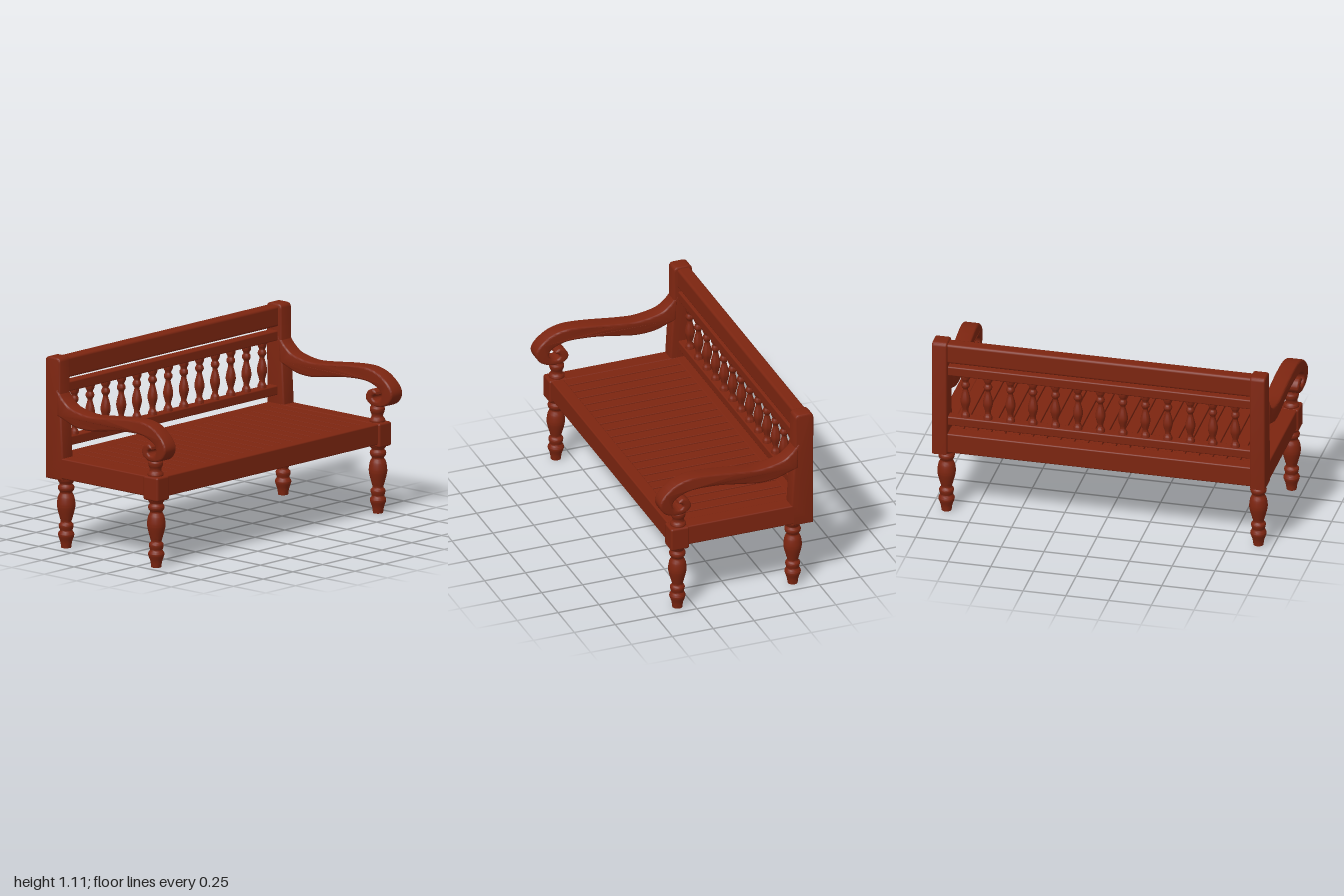
import * as THREE from 'three';
import { toCreasedNormals } from 'three/addons/utils/BufferGeometryUtils.js';
import { RoundedBoxGeometry } from 'three/addons/geometries/RoundedBoxGeometry.js';

const v2 = (pts) => pts.map(([a, b]) => new THREE.Vector2(a, b));

// Smooth turned profile from [radius, height] pairs, closed at both ends
function turned(pts, detail = 40) {
  const curve = new THREE.SplineCurve(v2(pts)).getPoints(detail);
  const first = new THREE.Vector2(0, pts[0][1]);
  const last = new THREE.Vector2(0, pts[pts.length - 1][1]);
  return toCreasedNormals(new THREE.LatheGeometry([first, ...curve, last], 20), 0.8);
}

// Side outline in (z, y), given a width along x and softened edges
function sideProfile(points, width, bevel) {
  const geo = new THREE.ExtrudeGeometry(new THREE.Shape(points), {
    depth: width - 2 * bevel, bevelEnabled: true, bevelThickness: bevel,
    bevelSize: bevel, bevelOffset: -bevel, bevelSegments: 3, steps: 1,
  });
  geo.translate(0, 0, -width / 2 + bevel);
  geo.rotateY(-Math.PI / 2);
  return geo;
}

export function createModel() {
  const bench = new THREE.Group();
  bench.name = 'bench';
  const wood = new THREE.MeshStandardMaterial({ color: 0x7c2510 });
  wood.name = 'redBrownWood';

  const add = (name, geo, x = 0, y = 0, z = 0) => {
    const mesh = new THREE.Mesh(geo, wood);
    mesh.name = name;
    mesh.position.set(x, y, z);
    bench.add(mesh);
    return mesh;
  };
  // Box given by its limits
  const block = (name, x0, x1, y0, y1, z0, z1, r = 0.008) => add(
    name, new RoundedBoxGeometry(x1 - x0, y1 - y0, z1 - z0, 2, r),
    (x0 + x1) / 2, (y0 + y1) / 2, (z0 + z1) / 2);

  // Seat: panel, front and back rails, slats
  block('seatPanel', -0.93, 0.93, 0.412, 0.512, -0.44, 0.36, 0.004);
  block('frontRail', -0.93, 0.93, 0.41, 0.53, 0.312, 0.387);
  block('backSeatRail', -0.93, 0.93, 0.41, 0.53, -0.462, -0.372);
  const slatCount = 22, pitch = 1.78 / slatCount;
  for (let i = 0; i < slatCount; i++) {
    const x = -0.89 + (i + 0.5) * pitch;
    block('seatSlat', x - pitch / 2 + 0.004, x + pitch / 2 - 0.004, 0.505, 0.528, -0.38, 0.316, 0.003);
  }

  // Turned shapes
  const legGeo = turned([
    [0.029, 0], [0.034, 0.035], [0.046, 0.07], [0.045, 0.085], [0.036, 0.1], [0.041, 0.118],
    [0.042, 0.135], [0.031, 0.15], [0.037, 0.175], [0.05, 0.225], [0.053, 0.255], [0.047, 0.295],
    [0.035, 0.322], [0.044, 0.337], [0.047, 0.355], [0.037, 0.372], [0.047, 0.39], [0.052, 0.415],
  ], 64);
  const supportGeo = turned([
    [0.044, 0.525], [0.045, 0.545], [0.035, 0.558], [0.034, 0.575],
    [0.041, 0.592], [0.043, 0.61], [0.036, 0.625], [0.036, 0.645],
  ]);
  const balusterGeo = turned([
    [0.027, 0.63], [0.025, 0.65], [0.018, 0.665], [0.016, 0.68], [0.024, 0.71], [0.029, 0.735],
    [0.025, 0.765], [0.016, 0.8], [0.015, 0.815], [0.024, 0.83], [0.024, 0.845], [0.017, 0.86],
    [0.026, 0.88], [0.028, 0.9],
  ]);

  // Backrest rails and balusters
  block('topRail', -0.92, 0.92, 0.98, 1.1, -0.463, -0.383, 0.015);
  block('middleRail', -0.92, 0.92, 0.897, 0.955, -0.452, -0.388, 0.008);
  block('lowerRail', -0.92, 0.92, 0.58, 0.635, -0.452, -0.388, 0.008);
  for (let i = -6; i <= 6; i++) add('baluster', balusterGeo, i * 0.1315, 0, -0.42);

  // Back post outline: flared foot, rounded top
  const post = new THREE.Shape();
  post.moveTo(-0.472, 0.4);
  post.lineTo(-0.345, 0.4);
  post.lineTo(-0.34, 0.53);
  post.lineTo(-0.354, 0.77);
  post.lineTo(-0.362, 0.79);
  post.lineTo(-0.362, 1.08);
  post.quadraticCurveTo(-0.362, 1.111, -0.392, 1.111);
  post.lineTo(-0.445, 1.111);
  post.quadraticCurveTo(-0.475, 1.111, -0.475, 1.08);
  const postGeo = toCreasedNormals(sideProfile(post.getPoints(6), 0.09, 0.01), 0.6);

  // Arm outline: sweeping upper edge, scroll, and lower edge back to the post
  const upperEdge = new THREE.SplineCurve(v2([
    [-0.38, 0.93], [-0.36, 0.9], [-0.33, 0.868], [-0.275, 0.833], [-0.157, 0.811], [-0.04, 0.817],
    [0.137, 0.837], [0.27, 0.843], [0.357, 0.825], [0.416, 0.79], [0.46, 0.745], [0.473, 0.7],
    [0.445, 0.65], [0.387, 0.626], [0.328, 0.626], [0.29, 0.648], [0.278, 0.678], [0.298, 0.712],
    [0.33, 0.723], [0.355, 0.708],
  ])).getPoints(90);
  const lowerEdge = new THREE.SplineCurve(v2([
    [0.358, 0.694], [0.34, 0.69], [0.328, 0.674], [0.345, 0.658], [0.378, 0.664], [0.395, 0.69],
    [0.38, 0.724], [0.328, 0.752], [0.254, 0.766], [0.107, 0.76], [-0.04, 0.737], [-0.143, 0.723],
    [-0.245, 0.73], [-0.32, 0.755], [-0.38, 0.775],
  ])).getPoints(70);
  const armOutline = [...upperEdge, ...lowerEdge];

  for (const s of [1, -1]) {
    const side = s > 0 ? 'left' : 'right';
    add(side + 'BackPost', postGeo, s * 0.93);

    // Arm, bending outwards towards the front
    const armGeo = sideProfile(armOutline, 0.096, 0.011);
    const p = armGeo.attributes.position;
    for (let i = 0; i < p.count; i++) {
      const t = Math.max(0, (p.getZ(i) + 0.1) / 0.57);
      p.setX(i, p.getX(i) + s * 0.02 * t * t);
    }
    add(side + 'Arm', toCreasedNormals(armGeo, 0.6), s * 0.932);
    add(side + 'ArmSupport', supportGeo, s * 0.932, 0, 0.338);

    // Side rail, corner block and legs
    const [a, b] = s > 0 ? [0.882, 0.975] : [-0.975, -0.882];
    block(side + 'SideRail', a, b, 0.412, 0.531, -0.44, 0.34);
    const [c, d] = s > 0 ? [0.882, 0.985] : [-0.985, -0.882];
    block(side + 'CornerBlock', c, d, 0.392, 0.533, 0.288, 0.401, 0.012);
    add(side + 'FrontLeg', legGeo, s * 0.932, 0, 0.343);
    add(side + 'BackLeg', legGeo, s * 0.912, 0, -0.37);
  }
  return bench;
}
